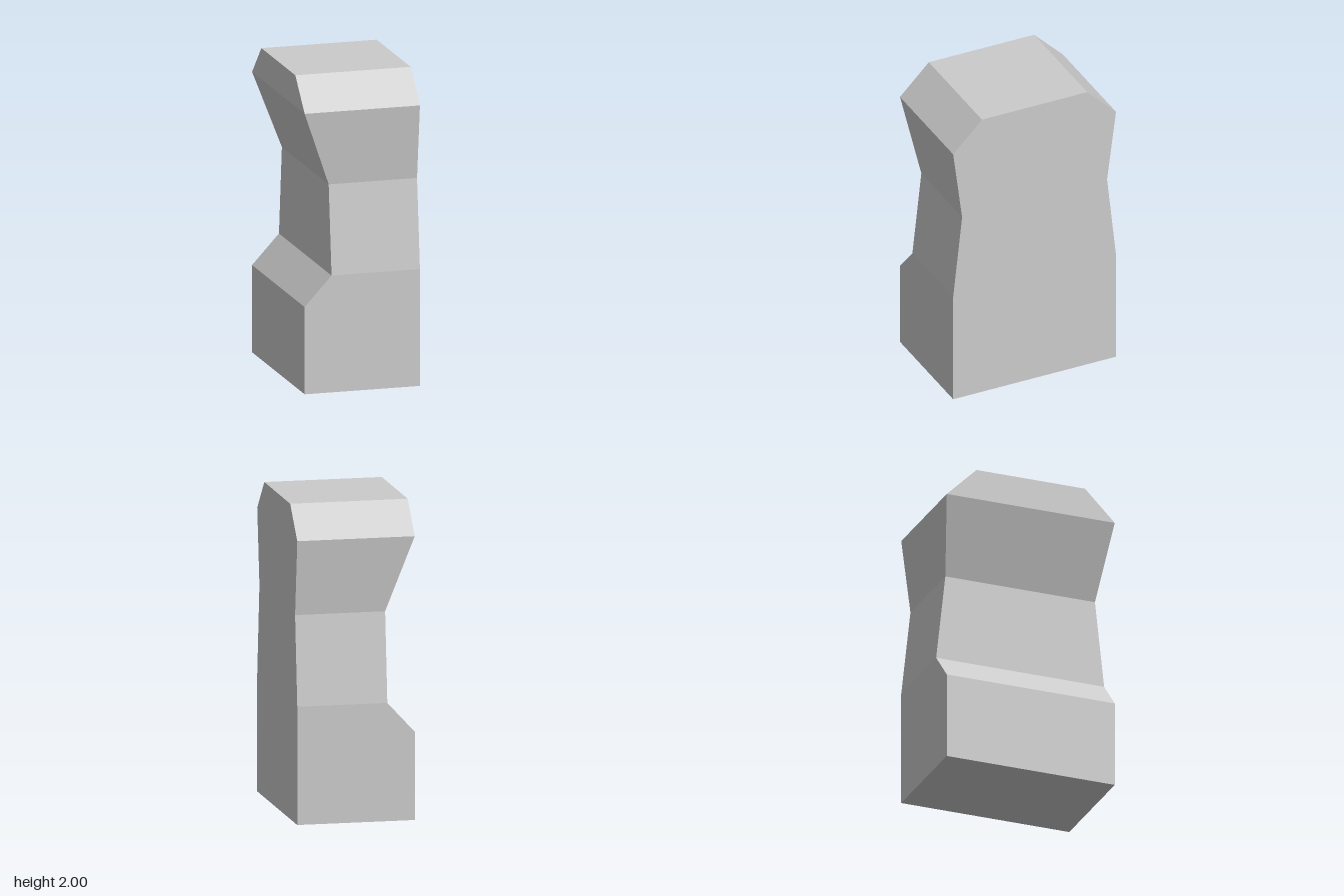
import * as THREE from 'three';

// Cross-sections from the base up: height, x of the notched side, half depth
const SECTIONS = [
  { y: 0, x: -0.375, z: 0.565 },
  { y: 0.56, x: -0.375, z: 0.565 },
  { y: 0.75, x: -0.2, z: 0.565 },
  { y: 1.32, x: -0.2, z: 0.503 },
  { y: 1.8, x: -0.375, z: 0.565 },
  { y: 2, x: -0.375, z: 0.365 },
];
const FLAT_SIDE_X = 0.375;

export function createModel() {
  const group = new THREE.Group();
  group.name = 'pillarBlock';

  // A unit box with one row of corners per section, each row fitted to its section
  const rows = SECTIONS.length - 1;
  const box = new THREE.BoxGeometry(1, 1, 1, 1, rows, 1);
  const pos = box.attributes.position;
  for (let i = 0; i < pos.count; i++) {
    const s = SECTIONS[Math.round((pos.getY(i) + 0.5) * rows)];
    pos.setXYZ(i, pos.getX(i) > 0 ? FLAT_SIDE_X : s.x, s.y, Math.sign(pos.getZ(i)) * s.z);
  }
  const geometry = box.toNonIndexed();
  geometry.computeVertexNormals();

  // Block with a waisted body, a recess on one side and a chamfered top
  const body = new THREE.Mesh(
    geometry,
    new THREE.MeshStandardMaterial({ color: 0xcccccc, flatShading: true })
  );
  body.name = 'body';
  group.add(body);
  return group;
}
